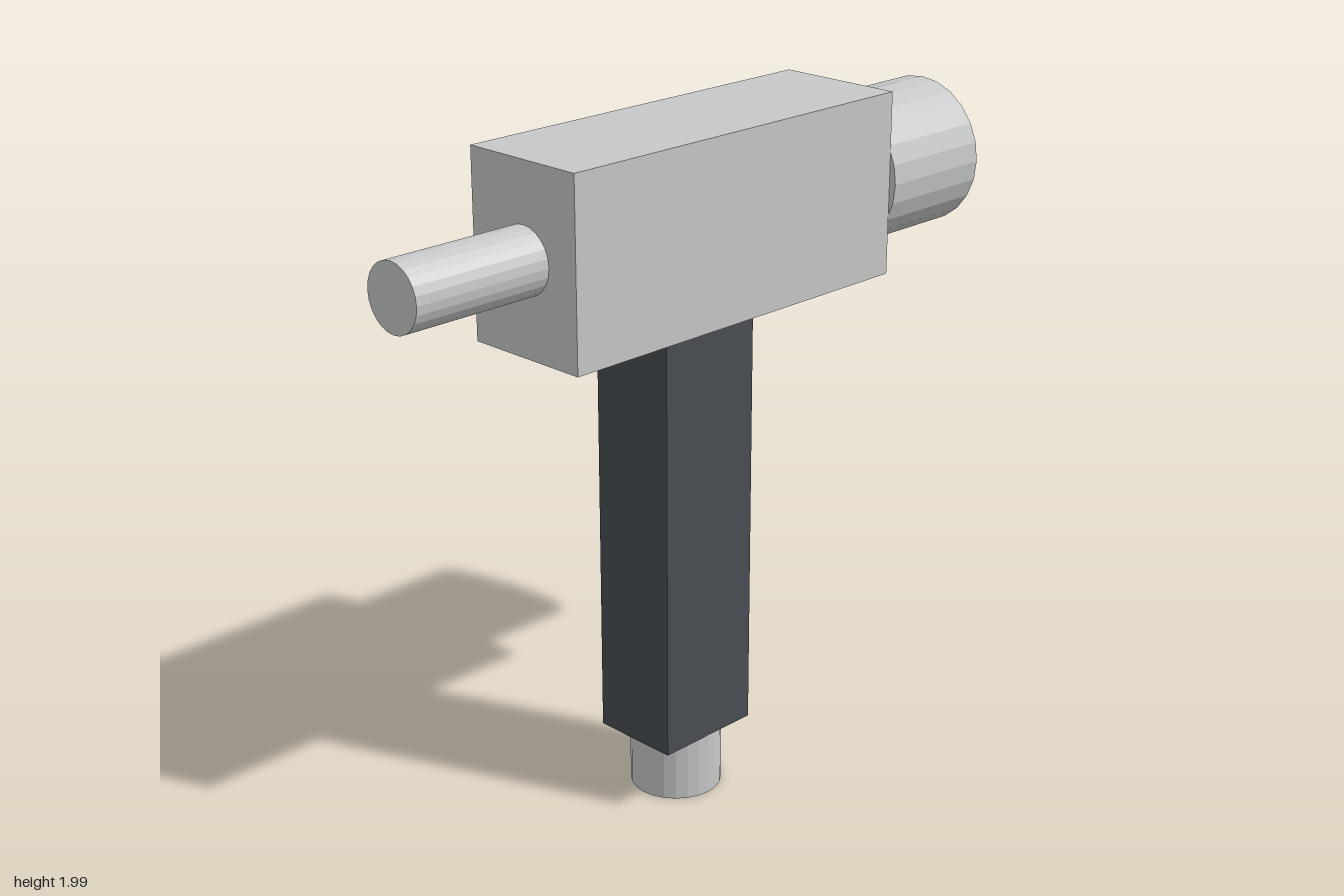
import * as THREE from 'three';

export function createModel() {
  const model = new THREE.Group();
  const mat = (name, color, opts = {}) => {
    const m = new THREE.MeshStandardMaterial({ color, ...opts });
    m.name = name;
    return m;
  };
  const metal = mat('lightMetal', 0xc6c7c8, { flatShading: true });
  const dark = mat('darkGrip', 0x494d51, { flatShading: true });

  const add = (name, geometry, material, x, y, z = 0) => {
    const mesh = new THREE.Mesh(geometry, material);
    mesh.name = name;
    mesh.position.set(x, y, z);
    model.add(mesh);
    return mesh;
  };
  // cylinder lying along x between two ends
  const rod = (name, radius, x0, x1, y) => {
    const g = new THREE.CylinderGeometry(radius, radius, x1 - x0, 24).rotateZ(-Math.PI / 2);
    return add(name, g, metal, (x0 + x1) / 2, y);
  };

  // main block with a thin rod on one end and a thick drum on the other
  add('body', new THREE.BoxGeometry(1.205, 0.53, 0.39), metal, 0.0275, 1.725);
  rod('thinRod', 0.095, -1, -0.575, 1.725);
  rod('drum', 0.217, 0.63, 1, 1.725);

  // square grip below the block
  add('grip', new THREE.BoxGeometry(0.335, 1.27, 0.27), dark, -0.0325, 0.825);

  // hollow connector at the foot of the grip
  const ring = [[0.08, 0.19], [0.08, 0], [0.134, 0], [0.134, 0.19]]
    .map(([r, y]) => new THREE.Vector2(r, y));
  add('connector', new THREE.LatheGeometry(ring, 24), metal, -0.0325, 0);

  return model;
}
